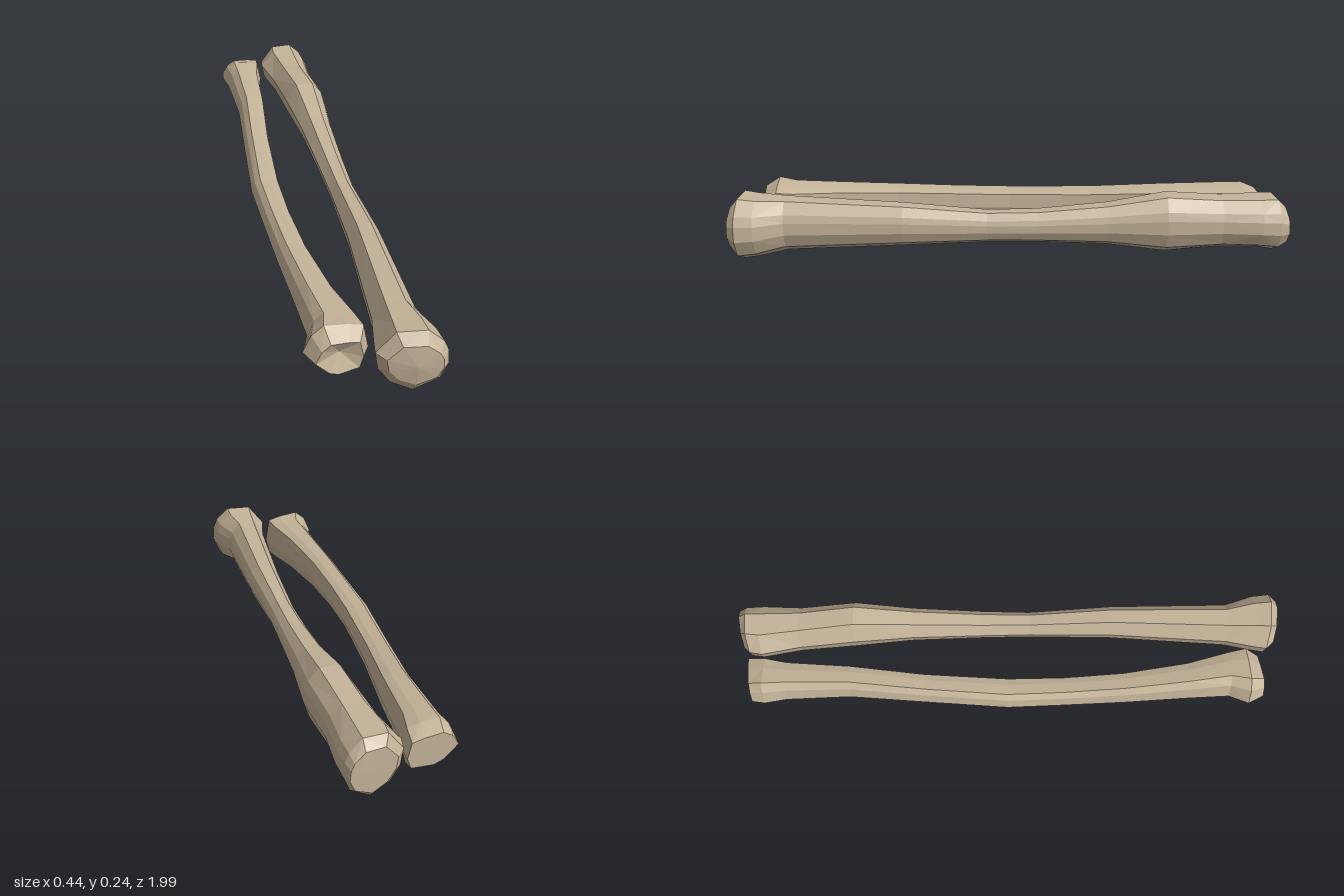
import * as THREE from 'three';

// Lofts one faceted bone from front to back.
// outline: closed cross-section, counterclockwise seen from the front.
// rings: [z, xMin, xMax, yMin, yMax, slant of the ring in z across x]
function makeBone(name, outline, rings, frontTip, backTip, material) {
  const xs = outline.map((p) => p[0]);
  const ys = outline.map((p) => p[1]);
  const xMin = Math.min(...xs), xMax = Math.max(...xs);
  const yMin = Math.min(...ys), yMax = Math.max(...ys);
  const n = outline.length;
  const positions = [];
  const index = [];

  for (const [z, x0, x1, y0, y1, slant = 0] of rings) {
    for (const [px, py] of outline) {
      const u = (px - xMin) / (xMax - xMin);
      const v = (py - yMin) / (yMax - yMin);
      positions.push(x0 + u * (x1 - x0), y0 + v * (y1 - y0), z + slant * (u - 0.5));
    }
  }
  const front = rings.length * n;
  positions.push(...frontTip, ...backTip);

  for (let j = 0; j < n; j++) {
    const k = (j + 1) % n;
    // Sides, with the quad diagonal alternating for an uneven carved look
    for (let i = 0; i < rings.length - 1; i++) {
      const a = i * n + j, b = i * n + k, c = a + n, d = b + n;
      if ((i + j) % 2) index.push(a, c, b, b, c, d);
      else index.push(a, c, d, a, d, b);
    }
    // End faces
    const last = (rings.length - 1) * n;
    index.push(front, j, k, front + 1, last + k, last + j);
  }

  const indexed = new THREE.BufferGeometry();
  indexed.setAttribute('position', new THREE.Float32BufferAttribute(positions, 3));
  indexed.setIndex(index);
  const geometry = indexed.toNonIndexed();
  geometry.computeVertexNormals();
  const mesh = new THREE.Mesh(geometry, material);
  mesh.name = name;
  return mesh;
}

export function createModel() {
  const group = new THREE.Group();
  group.name = 'bonePair';
  const bone = new THREE.MeshStandardMaterial({ color: 0xc4b398, flatShading: true });
  bone.name = 'bone';

  // Thicker bone with a heavy front knob and a swelling near the back
  const thickOutline = [
    [0.215, 0.10], [0.21, 0.155], [0.195, 0.19], [0.145, 0.238], [0.05, 0.24],
    [-0.01, 0.165], [0, 0.10], [0.04, 0.04], [0.11, 0], [0.19, 0.04],
  ];
  group.add(makeBone('thickBone', thickOutline, [
    [0.985, 0.02, 0.19, 0.05, 0.205, 0.02],
    [0.955, -0.008, 0.215, 0.002, 0.24, 0.02],
    [0.90, 0.0, 0.208, 0.01, 0.232],
    [0.80, 0.02, 0.17, 0.03, 0.223],
    [0.38, 0.048, 0.165, 0.05, 0.203],
    [0.08, 0.055, 0.148, 0.06, 0.175],
    [-0.10, 0.05, 0.152, 0.06, 0.178],
    [-0.35, 0.038, 0.16, 0.05, 0.2],
    [-0.56, 0.015, 0.176, 0.022, 0.235],
    [-0.76, -0.003, 0.16, 0.032, 0.218],
    [-0.90, -0.03, 0.168, 0.028, 0.218],
    [-0.955, -0.022, 0.163, 0.018, 0.22, -0.02],
    [-0.982, 0.0, 0.152, 0.045, 0.19, -0.03],
  ], [0.11, 0.13, 0.995], [0.11, 0.12, -0.99], bone));

  // Thinner bone, bowed outward, with a notched front end
  const thinOutline = [
    [-0.02, 0.11], [-0.035, 0.20], [-0.08, 0.215], [-0.15, 0.225], [-0.185, 0.195],
    [-0.21, 0.135], [-0.155, 0.06], [-0.12, 0.04], [-0.035, 0.05],
  ];
  group.add(makeBone('thinBone', thinOutline, [
    [0.915, -0.18, -0.03, 0.07, 0.195, -0.02],
    [0.865, -0.208, -0.005, 0.042, 0.226, -0.01],
    [0.80, -0.18, -0.02, 0.045, 0.217],
    [0.65, -0.187, -0.062, 0.05, 0.205],
    [0.42, -0.202, -0.098, 0.06, 0.19],
    [0.20, -0.212, -0.113, 0.068, 0.178],
    [0, -0.22, -0.115, 0.07, 0.172],
    [-0.30, -0.2, -0.1, 0.065, 0.178],
    [-0.57, -0.182, -0.073, 0.058, 0.195],
    [-0.80, -0.192, -0.058, 0.05, 0.2],
    [-0.88, -0.206, -0.04, 0.05, 0.2],
    [-0.935, -0.2, -0.035, 0.075, 0.18, -0.02],
  ], [-0.10, 0.135, 0.885], [-0.12, 0.125, -0.935], bone));

  return group;
}
